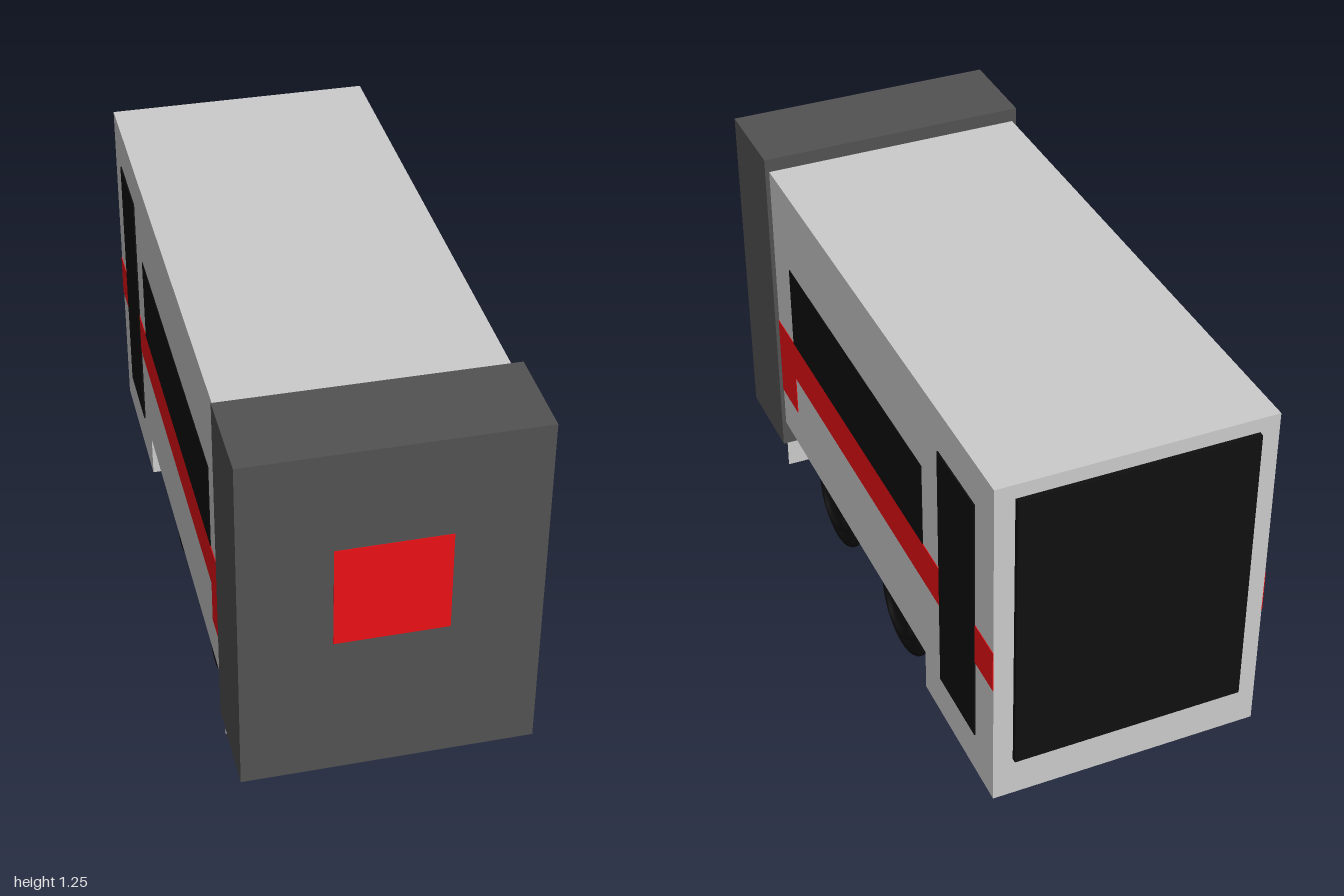
import * as THREE from 'three';

const material = (color, side = THREE.FrontSide) =>
  new THREE.MeshStandardMaterial({ color, side });

export function createModel() {
  const group = new THREE.Group();
  const grey = material(0xcccccc);
  const dark = material(0x525252);
  const black = material(0x0f0f0f);
  const red = material(0xea0f15);

  const add = (name, geometry, mat) => {
    const mesh = new THREE.Mesh(geometry, mat);
    mesh.name = name;
    group.add(mesh);
    return mesh;
  };
  // Box given by its extents along each axis
  const box = (name, mat, [x0, x1], [y0, y1], [z0, z1]) =>
    add(name, new THREE.BoxGeometry(x1 - x0, y1 - y0, z1 - z0), mat)
      .position.set((x0 + x1) / 2, (y0 + y1) / 2, (z0 + z1) / 2);

  // Carriage body: side profile (z, y) with a lower tail, extruded across x
  const halfWidth = 0.403;
  const profile = new THREE.Shape([
    [-0.985, 0.13], [-0.5, 0.13], [-0.5, 0.265],
    [0.715, 0.265], [0.715, 1.207], [-0.985, 1.207],
  ].map(([z, y]) => new THREE.Vector2(z, y)));
  const body = new THREE.ExtrudeGeometry(profile, { depth: halfWidth * 2, bevelEnabled: false });
  body.translate(0, 0, -halfWidth).rotateY(-Math.PI / 2);
  add('body', body, grey);

  // Front block with its square emblem panel and the thin skirt below
  box('frontBlock', dark, [-0.416, 0.416], [0.18, 1.25], [0.712, 0.998]);
  box('frontPanel', red, [-0.16, 0.16], [0.632, 0.945], [0.99, 1]);
  add('frontSkirt', new THREE.PlaneGeometry(halfWidth * 2, 0.09),
    material(0xcccccc, THREE.DoubleSide)).position.set(0, 0.135, 0.712);

  // Rear window
  box('rearWindow', black, [-0.345, 0.345], [0.26, 1.163], [-1, -0.98]);

  // Chassis
  box('chassis', black, [-0.325, 0.325], [0.147, 0.27], [-0.425, 0.662]);

  // Wheel section: radius against distance outwards from the chassis
  const wheelProfile = [
    [0, 0], [0.163, 0], [0.163, 0.012], [0.157, 0.021], [0.145, 0.028],
    [0.122, 0.031], [0.115, 0.024], [0.105, 0.024], [0.102, 0.038],
    [0.09, 0.043], [0.078, 0.038], [0.075, 0.026], [0, 0.026],
  ].map(([r, d]) => new THREE.Vector2(r, d));
  const wheel = new THREE.LatheGeometry(wheelProfile, 40).rotateZ(-Math.PI / 2);

  // Side panels and wheels, repeated on both sides
  for (const [side, s] of [['left', 1], ['right', -1]]) {
    const panel = (name, mat, y, z, proud = 0.002) => {
      const x = [s * (halfWidth - 0.01), s * (halfWidth + proud)].sort((a, b) => a - b);
      box(`${side}${name}`, mat, x, y, z);
    };
    panel('Stripe', red, [0.535, 0.668], [-0.985, 0.715]);
    panel('StripeDrop', red, [0.4, 0.535], [0.57, 0.715]);
    panel('Window', black, [0.668, 0.94], [-0.5, 0.57]);
    panel('Door', black, [0.265, 1.075], [-0.865, -0.62], 0.004);

    for (const [end, z] of [['Front', 0.385], ['Rear', -0.175]]) {
      const mesh = add(`${side}${end}Wheel`, wheel, black);
      mesh.position.set(s * 0.328, 0.163, z);
      if (s < 0) mesh.rotation.y = Math.PI;
    }
  }
  return group;
}
